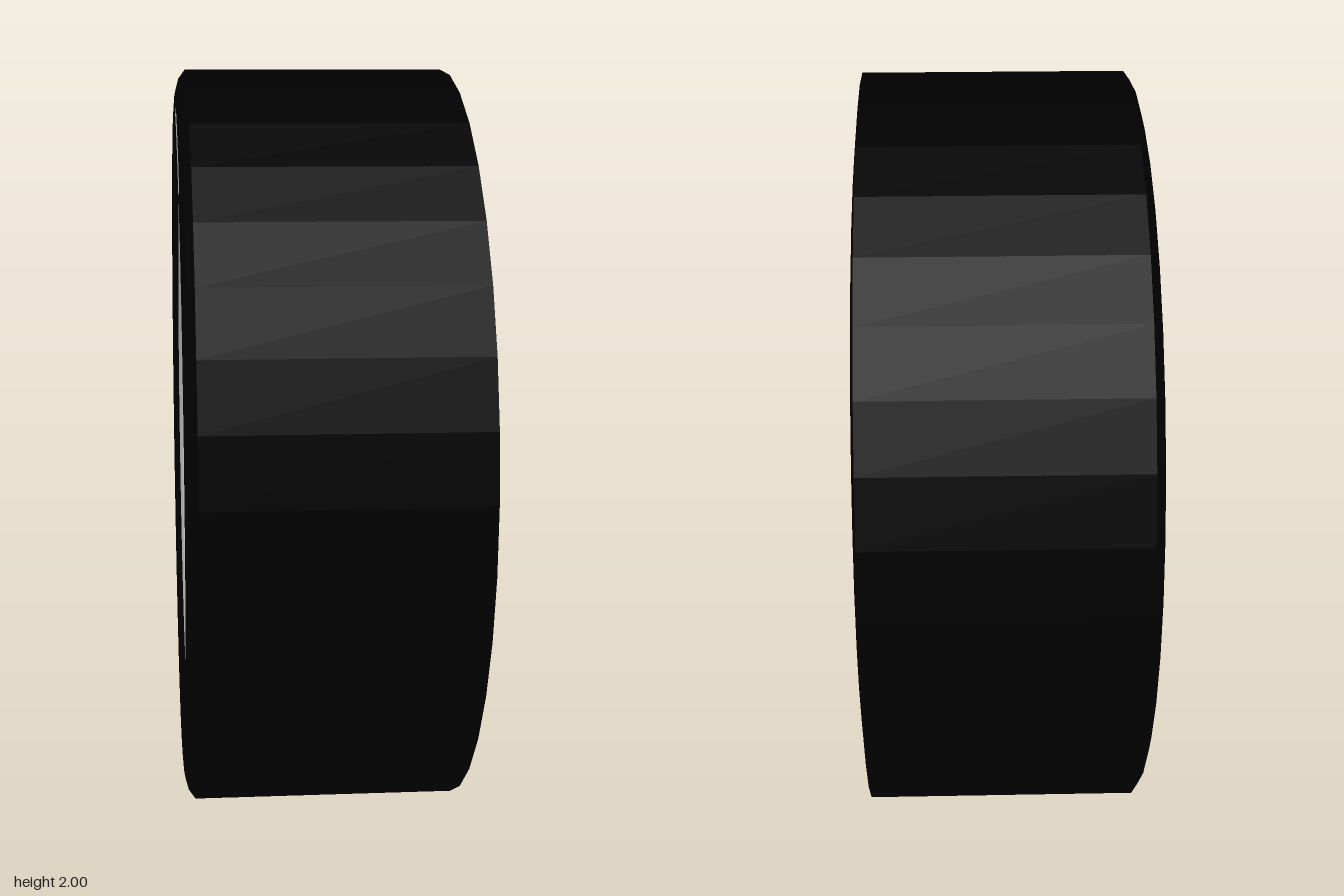
import * as THREE from 'three';

const paint = (name, color, flatShading, side = THREE.DoubleSide) => {
  const m = new THREE.MeshStandardMaterial({ color, flatShading, side });
  m.name = name;
  return m;
};

// Spoke: open cross-sections joined along the radius (+z), face towards +y
function spokeGeometry() {
  // radius, half width, face height, channel half width, channel depth
  const stations = [
    [0.08, 0.065, 0.222, 0.034, 0.04],
    [0.17, 0.11, 0.230, 0.036, 0.05],
    [0.26, 0.108, 0.245, 0.034, 0.05],
    [0.37, 0.10, 0.268, 0.028, 0.035],
    [0.46, 0.125, 0.293, 0.004, 0],
    [0.74, 0.16, 0.345, 0.004, 0],
  ];
  const pos = [], idx = [], n = 10;
  stations.forEach(([r, w, t, c, d]) => {
    const half = [[w + 0.015, t - 0.07], [w + 0.012, t - 0.03], [w - 0.01, t], [c, t], [c * 0.7, t - d]];
    half.forEach(([x, y]) => pos.push(-x, y, r));
    half.reverse().forEach(([x, y]) => pos.push(x, y, r));
  });
  for (let i = 0; i < stations.length - 1; i++) {
    for (let j = 0; j < n - 1; j++) {
      const a = i * n + j, b = a + 1, c = a + n, d = c + 1;
      idx.push(a, c, b, b, c, d);
    }
  }
  const g = new THREE.BufferGeometry();
  g.setAttribute('position', new THREE.Float32BufferAttribute(pos, 3));
  g.setIndex(idx);
  const out = g.toNonIndexed();
  out.computeVertexNormals();
  return out;
}

export function createModel() {
  const rubber = paint('black rubber', 0x000000, true, THREE.FrontSide);
  const silver = paint('silver alloy', 0xacacac, false);
  const red = paint('red caliper paint', 0x6a0505, true);

  // The axle runs along local y; the open wheel face is turned to -x
  const wheel = new THREE.Group();
  wheel.name = 'wheel';
  wheel.rotation.z = Math.PI / 2;
  wheel.position.y = 1;

  const add = (name, geometry, material, parent = wheel) => {
    const m = new THREE.Mesh(geometry, material);
    m.name = name;
    parent.add(m);
    return m;
  };
  const lathe = (pts, start = 0, length = 360, seg = 36) =>
    new THREE.LatheGeometry(pts.map(([r, h]) => new THREE.Vector2(r, h)), seg,
      THREE.MathUtils.degToRad(start), THREE.MathUtils.degToRad(length));

  // Tyre with closed back and dark inner well
  add('tyre', lathe([
    [0, -0.367], [0.88, -0.367], [1, -0.355], [1, 0.34], [0.975, 0.358], [0.94, 0.367], [0.9, 0.37],
    [0.83, 0.368], [0.76, 0.347], [0.755, 0.32], [0.65, 0.165], [0.64, 0.08], [0, 0.08],
  ]), rubber);
  add('sidewallMark', lathe([[0.94, 0.369], [0.92, 0.371]], 49, 25, 6), silver);

  // Alloy rim: narrow lip and tapering barrel
  add('rimLip', lathe([[0.762, 0.35], [0.75, 0.354], [0.738, 0.345]]), silver);
  add('rimBarrel', lathe([[0.738, 0.345], [0.715, 0.29], [0.65, 0.175]]), silver);

  // Brake behind the spokes: two red calipers with bare metal pads inside them
  const brake = (name, material, inner, outer, height, start, length) => add(name, lathe([
    [outer, 0.08], [outer, height - 0.02], [outer - 0.02, height], [inner, height], [inner, 0.08],
  ], start, length, 6), material);
  brake('brakeCaliper', red, 0.4, 0.48, 0.16, 76, 28);
  brake('brakeCaliper', red, 0.34, 0.5, 0.16, 200, 32);
  brake('brakePad', silver, 0.28, 0.39, 0.13, 68, 28);
  brake('brakePad', silver, 0.27, 0.33, 0.13, 204, 24);

  // Hub
  add('hub', new THREE.CylinderGeometry(0.17, 0.19, 0.08, 20), silver).position.y = 0.15;
  add('hubCap', new THREE.CylinderGeometry(0.085, 0.09, 0.06, 24), silver).position.y = 0.208;

  // Five channelled spokes, each with a wheel nut
  const spoke = spokeGeometry();
  const nut = new THREE.CylinderGeometry(0.028, 0.03, 0.06, 8);
  for (let k = 0; k < 5; k++) {
    const arm = new THREE.Group();
    arm.name = 'spokeArm';
    arm.rotation.y = k * Math.PI * 2 / 5;
    add('spoke', spoke, silver, arm);
    add('wheelNut', nut, silver, arm).position.set(0, 0.208, 0.16);
    wheel.add(arm);
  }

  const group = new THREE.Group();
  group.name = 'wheelModel';
  group.add(wheel);
  return group;
}
